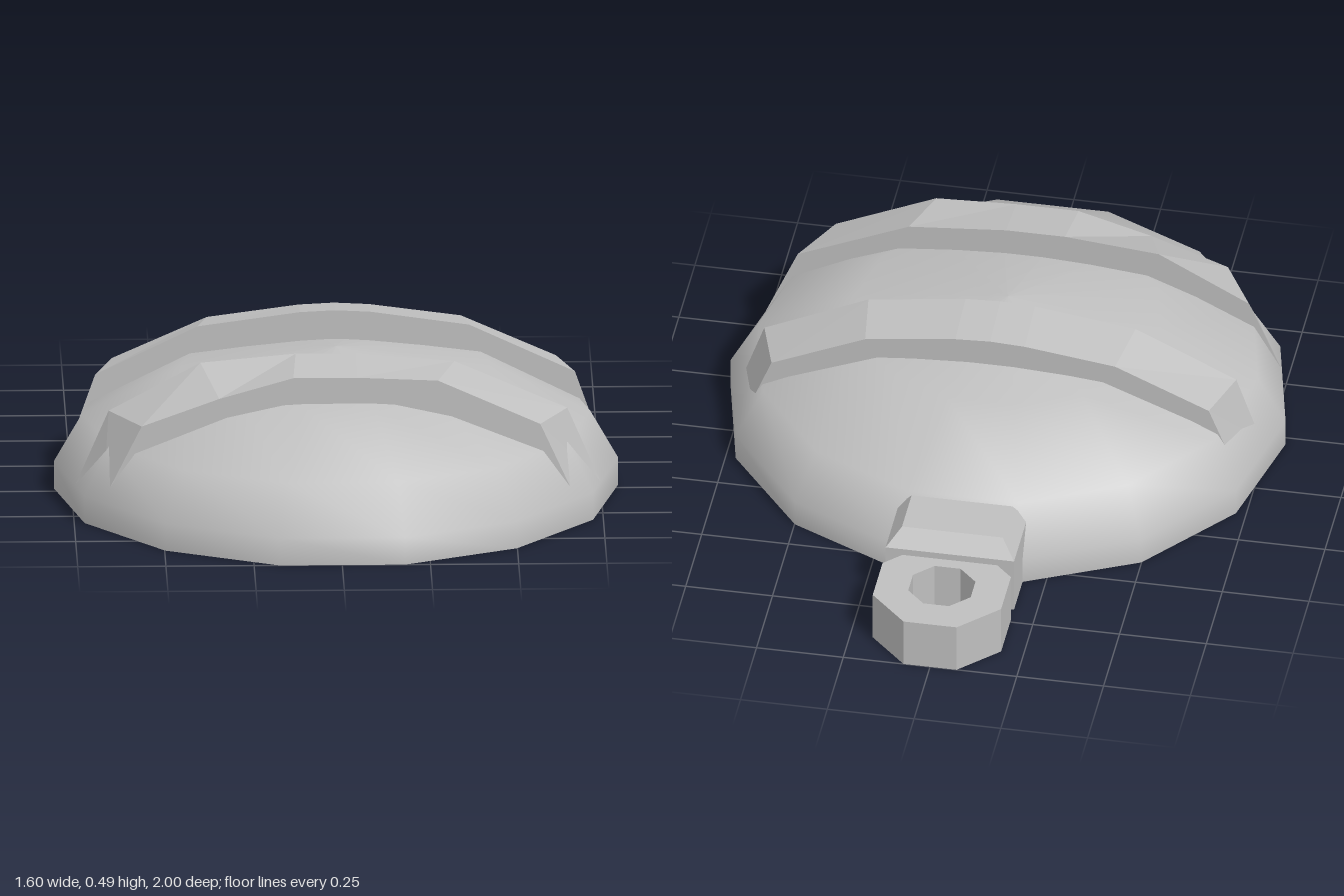
import * as THREE from 'three';

const CENTER_Z = 0.22;

// Arched solid lofted between a front and a back outline (both left to right)
function archBand(front, zFront, back, zBack) {
  const F = front.map(([x, y]) => [x, y, zFront]);
  const B = back.map(([x, y]) => [x, y, zBack]);
  const cF = [0, 0.08, zFront], cB = [0, 0.08, zBack];
  const pos = [];
  const tri = (a, b, c) => pos.push(...a, ...b, ...c);
  for (let i = 0; i < F.length - 1; i++) {
    tri(F[i], F[i + 1], B[i + 1]);
    tri(F[i], B[i + 1], B[i]);
    tri(cF, F[i + 1], F[i]);
    tri(cB, B[i], B[i + 1]);
  }
  const g = new THREE.BufferGeometry();
  g.setAttribute('position', new THREE.Float32BufferAttribute(pos, 3));
  g.computeVertexNormals();
  return g;
}

// Octagon with flat sides towards the axes
function octagon(path, apothem) {
  const r = apothem / Math.cos(Math.PI / 8);
  const pts = [];
  for (let i = 0; i < 8; i++) {
    const a = Math.PI / 8 + (i * Math.PI) / 4;
    pts.push(new THREE.Vector2(r * Math.cos(a), r * Math.sin(a)));
  }
  return path.setFromPoints(pts);
}

export function createModel() {
  const model = new THREE.Group();
  const grey = new THREE.MeshStandardMaterial({ color: 0xbfbfbf });
  grey.name = 'plainGrey';
  const add = (name, geometry) => {
    const mesh = new THREE.Mesh(geometry, grey);
    mesh.name = name;
    model.add(mesh);
    return mesh;
  };

  // Smooth half bauble with a flat underside
  const profile = [[0.8, 0], [0.8, 0.08], [0.72, 0.22], [0.44, 0.36], [0, 0.415]]
    .map(([r, y]) => new THREE.Vector2(r, y));
  add('dome', new THREE.LatheGeometry(profile, 14, Math.PI / 2)).position.z = CENTER_Z;
  const base = new THREE.CircleGeometry(0.8, 14).rotateX(Math.PI / 2);
  add('base', base).position.z = CENTER_Z;

  // Two raised bands across the dome
  add('frontBand', archBand(
    [[-0.67, 0.08], [-0.56, 0.3], [-0.34, 0.38], [-0.13, 0.44], [0.05, 0.44], [0.28, 0.43], [0.57, 0.3], [0.67, 0.08]], 0.62,
    [[-0.745, 0.08], [-0.65, 0.3], [-0.39, 0.44], [-0.12, 0.465], [0.05, 0.465], [0.33, 0.44], [0.65, 0.3], [0.745, 0.08]], 0.46));
  add('middleBand', archBand(
    [[-0.75, 0.1], [-0.68, 0.3], [-0.39, 0.44], [-0.1, 0.48], [0, 0.485], [0.1, 0.48], [0.38, 0.44], [0.68, 0.3], [0.75, 0.1]], 0.1,
    [[-0.71, 0.1], [-0.63, 0.3], [-0.36, 0.42], [-0.1, 0.455], [0, 0.46], [0.1, 0.455], [0.36, 0.42], [0.63, 0.3], [0.71, 0.1]], -0.06));

  // Cap: a box whose upper part tapers to a bevelled top
  const cap = new THREE.BoxGeometry(0.37, 0.22, 0.21, 1, 2, 1);
  const p = cap.attributes.position;
  for (let i = 0; i < p.count; i++) {
    const y = p.getY(i);
    if (Math.abs(y) < 0.01) p.setY(i, 0.06);
    if (y > 0.05) {
      p.setX(i, Math.sign(p.getX(i)) * 0.145);
      p.setZ(i, p.getZ(i) > 0 ? 0.085 : -0.065);
    }
  }
  const flatCap = cap.toNonIndexed();
  flatCap.computeVertexNormals();
  add('cap', flatCap).position.set(0, 0.11, -0.585);

  // Octagonal hanging loop lying flat
  const ring = octagon(new THREE.Shape(), 0.185);
  ring.holes.push(octagon(new THREE.Path(), 0.09));
  const loop = new THREE.ExtrudeGeometry(ring, { depth: 0.15, bevelEnabled: false });
  loop.rotateX(-Math.PI / 2);
  add('hangingLoop', loop).position.z = -0.815;

  return model;
}
